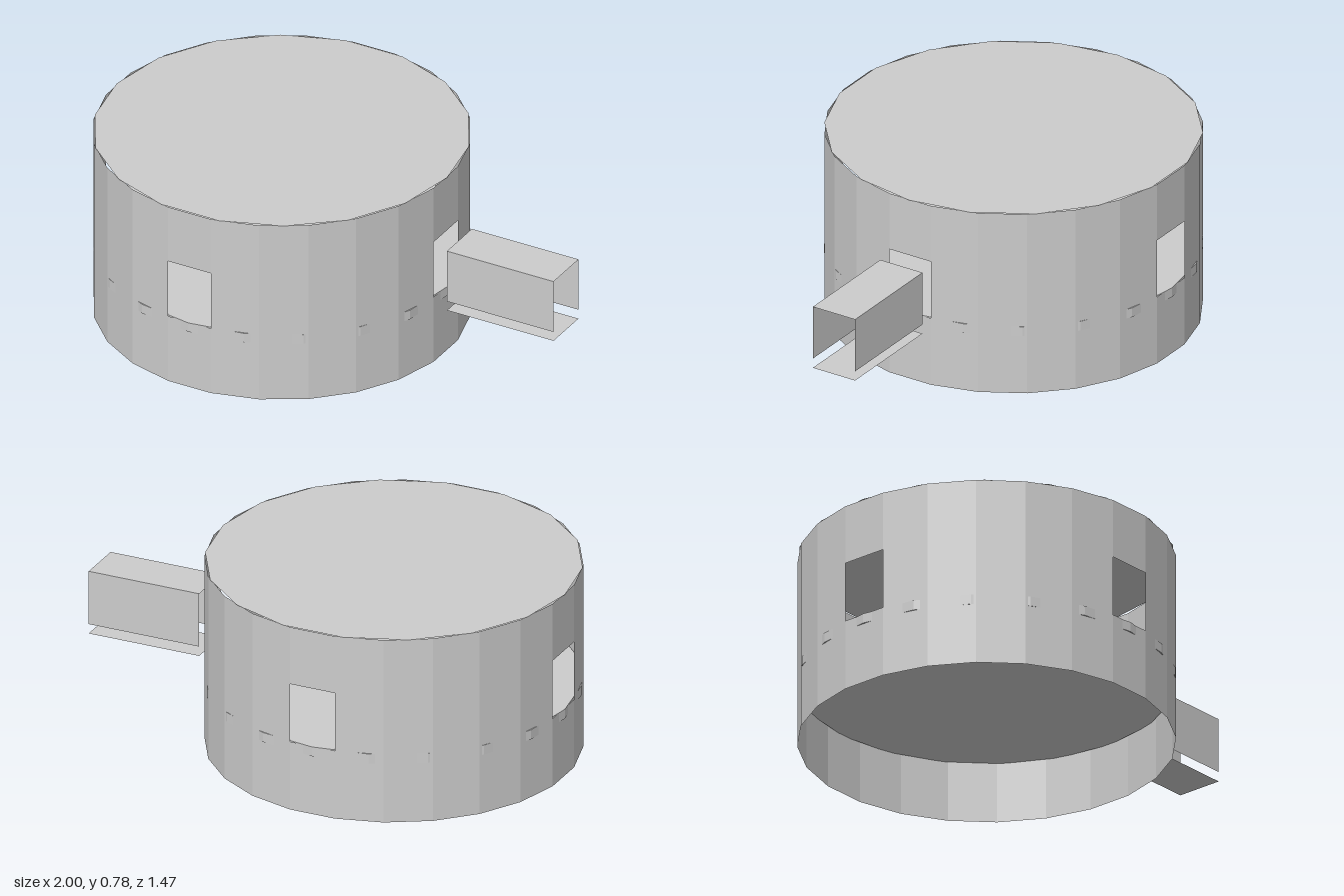
import * as THREE from 'three';
import { mergeGeometries } from 'three/addons/utils/BufferGeometryUtils.js';

export function createModel() {
  const model = new THREE.Group();
  model.name = 'roundHouse';

  const gray = new THREE.MeshStandardMaterial({ color: 0xcccccc, side: THREE.DoubleSide, flatShading: true });
  gray.name = 'plain gray';

  const add = (name, geometry, parent) => {
    const mesh = new THREE.Mesh(geometry, gray);
    mesh.name = name;
    parent.add(mesh);
    return mesh;
  };

  const R = 0.735, H = 0.78, SIDES = 24;
  const floorBottom = 0.25, floorTop = 0.29, windowTop = 0.537;

  const drum = new THREE.Group();
  drum.name = 'drum';
  drum.position.x = -0.265;
  model.add(drum);

  // Thin wall: flat facets, with a window opening in the facet facing each side
  const half = Math.PI / SIDES;
  const facetWidth = 2 * R * Math.sin(half);
  const apothem = R * Math.cos(half);
  const panels = [];
  for (let i = 0; i < SIDES; i++) {
    const spans = i % 6 === 0 ? [[0, floorTop], [windowTop, H]] : [[0, H]];
    for (const [y0, y1] of spans) {
      panels.push(new THREE.PlaneGeometry(facetWidth, y1 - y0)
        .translate(0, (y0 + y1) / 2, apothem)
        .rotateY(i * 2 * half));
    }
  }
  add('wall', mergeGeometries(panels), drum);

  // Roof disc
  add('roof', new THREE.CircleGeometry(R, 18).rotateX(-Math.PI / 2).translate(0, H, 0), drum);

  // Raised floor slab whose corners just poke through the wall
  add('floor', new THREE.CylinderGeometry(R, R, floorTop - floorBottom, 20)
    .translate(0, (floorTop + floorBottom) / 2, 0), drum);

  // Open-ended passage of thin panels beside the left window
  const passage = new THREE.Group();
  passage.name = 'passage';
  passage.position.x = 0.7625;
  model.add(passage);
  const length = 0.475, halfWidth = 0.098, passageTop = 0.516;
  for (const [name, y] of [['passageRoof', passageTop], ['passageFloor', floorBottom]]) {
    add(name, new THREE.PlaneGeometry(length, 2 * halfWidth).rotateX(-Math.PI / 2).translate(0, y, 0), passage);
  }
  for (const [name, s] of [['passageFrontWall', 1], ['passageBackWall', -1]]) {
    add(name, new THREE.PlaneGeometry(length, passageTop - floorTop)
      .rotateY(s > 0 ? 0 : Math.PI)
      .translate(0, (passageTop + floorTop) / 2, s * halfWidth), passage);
  }

  return model;
}
